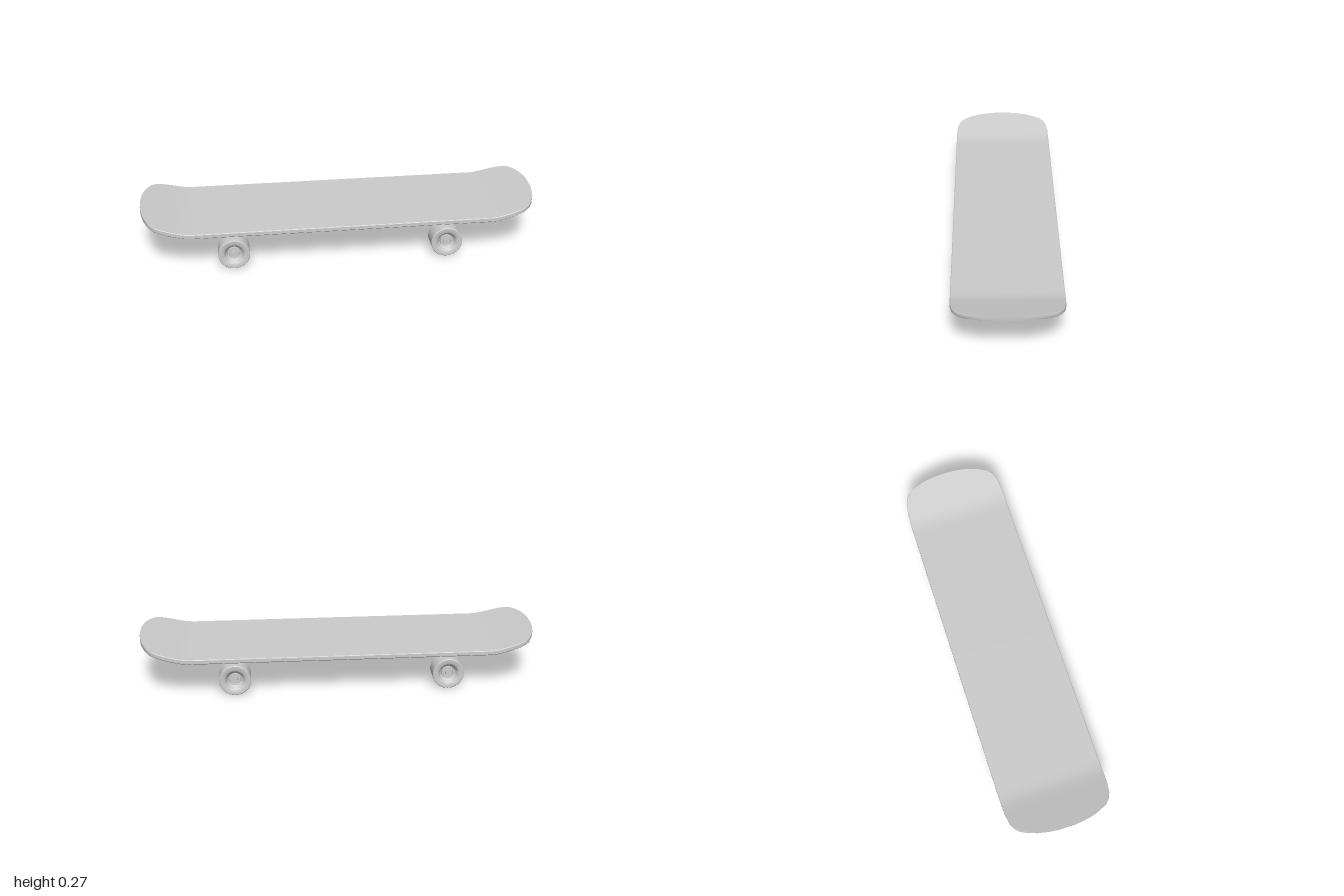
import * as THREE from 'three';
import { toCreasedNormals } from 'three/addons/utils/BufferGeometryUtils.js';
import { RoundedBoxGeometry } from 'three/addons/geometries/RoundedBoxGeometry.js';

const grey = new THREE.MeshStandardMaterial({ color: 0xcccccc });

function add(parent, name, geometry, x = 0, y = 0, z = 0) {
  const mesh = new THREE.Mesh(geometry, grey);
  mesh.name = name;
  mesh.position.set(x, y, z);
  parent.add(mesh);
  return mesh;
}

// Lathe around y with crisp corners
function lathe(points, segments = 48) {
  const g = new THREE.LatheGeometry(points.map(([r, y]) => new THREE.Vector2(r, y)), segments);
  return toCreasedNormals(g, 0.6);
}

// Deck: one cross-section swept along x, narrowing and rising at both ends
function deckGeometry() {
  const half = [[0, 0.263], [0.72, 0.263], [0.75, 0.263], [0.78, 0.263], [0.81, 0.2625], [0.85, 0.261],
    [0.9, 0.253], [0.93, 0.24], [0.95, 0.221], [0.97, 0.182], [0.985, 0.14], [0.995, 0.09], [1, 0.045]];
  const stations = [...half.slice(1).reverse().map(([x, w]) => [-x, w]), ...half];
  const lift = x => {
    const t = Math.abs(x) - 0.74;
    if (t <= 0) return 0;
    return t < 0.07 ? 1.75 * t * t : 0.0086 + (t - 0.07) * 0.26;
  };
  const pos = [], index = [], n = 8;
  for (const [x, w] of stations) {
    const y = lift(x);
    const section = [[-w + 0.003, 0.21], [w - 0.003, 0.21], [w, 0.207], [w, 0.19],
      [w - 0.006, 0.185], [-w + 0.006, 0.185], [-w, 0.19], [-w, 0.207]];
    for (const [z, h] of section) pos.push(x, h + y, z);
  }
  const last = (stations.length - 1) * n;
  for (let i = 0; i < last; i += n) {
    for (let j = 0; j < n; j++) {
      const k = (j + 1) % n;
      index.push(i + j, i + k, i + n + k, i + j, i + n + k, i + n + j);
    }
  }
  for (let j = 1; j < n - 1; j++) {
    index.push(0, j + 1, j, last, last + j, last + j + 1);
  }
  const g = new THREE.BufferGeometry();
  g.setAttribute('position', new THREE.Float32BufferAttribute(pos, 3));
  g.setIndex(index);
  return toCreasedNormals(g, 0.5);
}

// Wheel with dished faces, bearings and axle nuts; its axis is z
function makeWheel() {
  const wheel = new THREE.Group();
  wheel.name = 'wheel';
  const side = [[0.031, 0.022], [0.036, 0.024], [0.041, 0.03], [0.045, 0.038], [0.05, 0.044],
    [0.056, 0.047], [0.076, 0.047], [0.079, 0.044]];
  const profile = [[0.031, -0.022], ...side.slice(1).map(([r, y]) => [r, -y]),
    ...side.slice().reverse(), [0.031, -0.022]];
  add(wheel, 'tyre', lathe(profile)).rotation.x = Math.PI / 2;
  // Bearing: outer race, recessed shield, inner race
  const race = [[0, 0.03], [0.014, 0.03], [0.014, 0.024], [0.025, 0.024], [0.026, 0.03], [0.031, 0.03], [0.033, 0.02]];
  const bearing = [...race.map(([r, y]) => [r, -y]), ...race.slice().reverse()];
  add(wheel, 'bearing', lathe(bearing, 32)).rotation.x = Math.PI / 2;
  const nut = new THREE.CylinderGeometry(0.015, 0.015, 0.01, 6);
  add(wheel, 'axleNut', toCreasedNormals(nut, 0.5), 0, 0, 0.035).rotation.x = Math.PI / 2;
  return wheel;
}

// Tapered saddle under the base plate, leaning inward as it goes down
function saddleGeometry() {
  const g = new RoundedBoxGeometry(0.085, 0.06, 0.086, 4, 0.013);
  const p = g.attributes.position;
  for (let i = 0; i < p.count; i++) {
    const t = 0.5 - p.getY(i) / 0.06;
    p.setX(i, p.getX(i) * (1 - 0.25 * t) - 0.025 * t);
    p.setZ(i, p.getZ(i) * (1 - 0.14 * t));
  }
  g.computeVertexNormals();
  return toCreasedNormals(g, 0.7);
}

// Base plate: rounded rectangle with a soft rim
function plateGeometry() {
  const w = 0.1, d = 0.079, r = 0.02, s = new THREE.Shape();
  s.absarc(w - r, d - r, r, 0, Math.PI / 2);
  s.absarc(r - w, d - r, r, Math.PI / 2, Math.PI);
  s.absarc(r - w, r - d, r, Math.PI, Math.PI * 1.5);
  s.absarc(w - r, r - d, r, Math.PI * 1.5, Math.PI * 2);
  const g = new THREE.ExtrudeGeometry(s, {
    depth: 0.008, bevelThickness: 0.003, bevelSize: 0.003, bevelSegments: 2, curveSegments: 6 });
  g.translate(0, 0, -0.004).rotateX(Math.PI / 2);
  return toCreasedNormals(g, 0.6);
}

// Truck for the +x end; x is measured from the axle
function makeTruck() {
  const truck = new THREE.Group();
  truck.name = 'truck';
  add(truck, 'basePlate', plateGeometry(), 0.01, 0.176, 0);
  add(truck, 'saddle', saddleGeometry(), 0.055, 0.143, 0);

  // Axle and hanger bar
  const axle = new THREE.CylinderGeometry(0.009, 0.009, 0.47, 20);
  add(truck, 'axle', toCreasedNormals(axle, 0.6), 0, 0.079, 0).rotation.x = Math.PI / 2;
  const bar = new THREE.CylinderGeometry(0.022, 0.022, 0.262, 28);
  add(truck, 'hangerBar', toCreasedNormals(bar, 0.6), 0, 0.08, 0).rotation.x = Math.PI / 2;

  // Triangular web rising to the pivot
  const web = new THREE.Shape([[-0.075, 0.085], [0.075, 0.085], [0.062, 0.1], [0.024, 0.122],
    [-0.024, 0.122], [-0.062, 0.1]].map(([x, y]) => new THREE.Vector2(x, y)));
  const webGeometry = new THREE.ExtrudeGeometry(web, {
    depth: 0.022, bevelThickness: 0.003, bevelSize: 0.002, bevelSegments: 2 });
  webGeometry.translate(0, 0, -0.011).rotateY(Math.PI / 2);
  add(truck, 'hangerWeb', toCreasedNormals(webGeometry, 0.5), -0.012, 0, 0);
  const pivot = new THREE.CylinderGeometry(0.014, 0.02, 0.07, 20);
  add(truck, 'pivot', toCreasedNormals(pivot, 0.6), -0.032, 0.134, 0).rotation.z = 0.5;
  add(truck, 'pivotCup', lathe([[0, -0.012], [0.02, -0.012], [0.024, -0.008], [0.027, 0.014], [0, 0.014]], 24),
    -0.048, 0.158, 0);

  // Kingpin assembly leaning outward toward the deck
  const kingpin = new THREE.Group();
  kingpin.name = 'kingpinAssembly';
  kingpin.position.set(0.021, 0.086, 0);
  kingpin.rotation.z = -0.25;
  truck.add(kingpin);
  const seat = lathe([[0, -0.01], [0.06, -0.01], [0.07, -0.007], [0.073, 0], [0.07, 0.006],
    [0.06, 0.009], [0.04, 0.006], [0, 0.006]]);
  add(kingpin, 'bushingSeat', seat).scale.x = 0.55;
  add(kingpin, 'bushing', lathe([[0, 0], [0.022, 0], [0.022, 0.02], [0.018, 0.024], [0.018, 0.045], [0, 0.045]], 28));
  add(kingpin, 'washer', lathe([[0, -0.02], [0.018, -0.02], [0.02, -0.016], [0.02, -0.005], [0, -0.005]], 28));
  const nut = new THREE.CylinderGeometry(0.011, 0.011, 0.014, 6);
  add(kingpin, 'kingpinNut', toCreasedNormals(nut, 0.5), 0, -0.023, 0);

  // Wheels on both ends of the axle
  for (const s of [1, -1]) {
    const wheel = makeWheel();
    wheel.position.set(0, 0.079, s * 0.195);
    if (s < 0) wheel.rotation.y = Math.PI;
    truck.add(wheel);
  }
  return truck;
}

export function createModel() {
  const model = new THREE.Group();
  model.name = 'skateboard';
  add(model, 'deck', deckGeometry());
  for (const s of [1, -1]) {
    const truck = makeTruck();
    truck.position.set(-0.009 + s * 0.536, 0, 0.009);
    if (s < 0) truck.rotation.y = Math.PI;
    model.add(truck);
  }
  return model;
}
